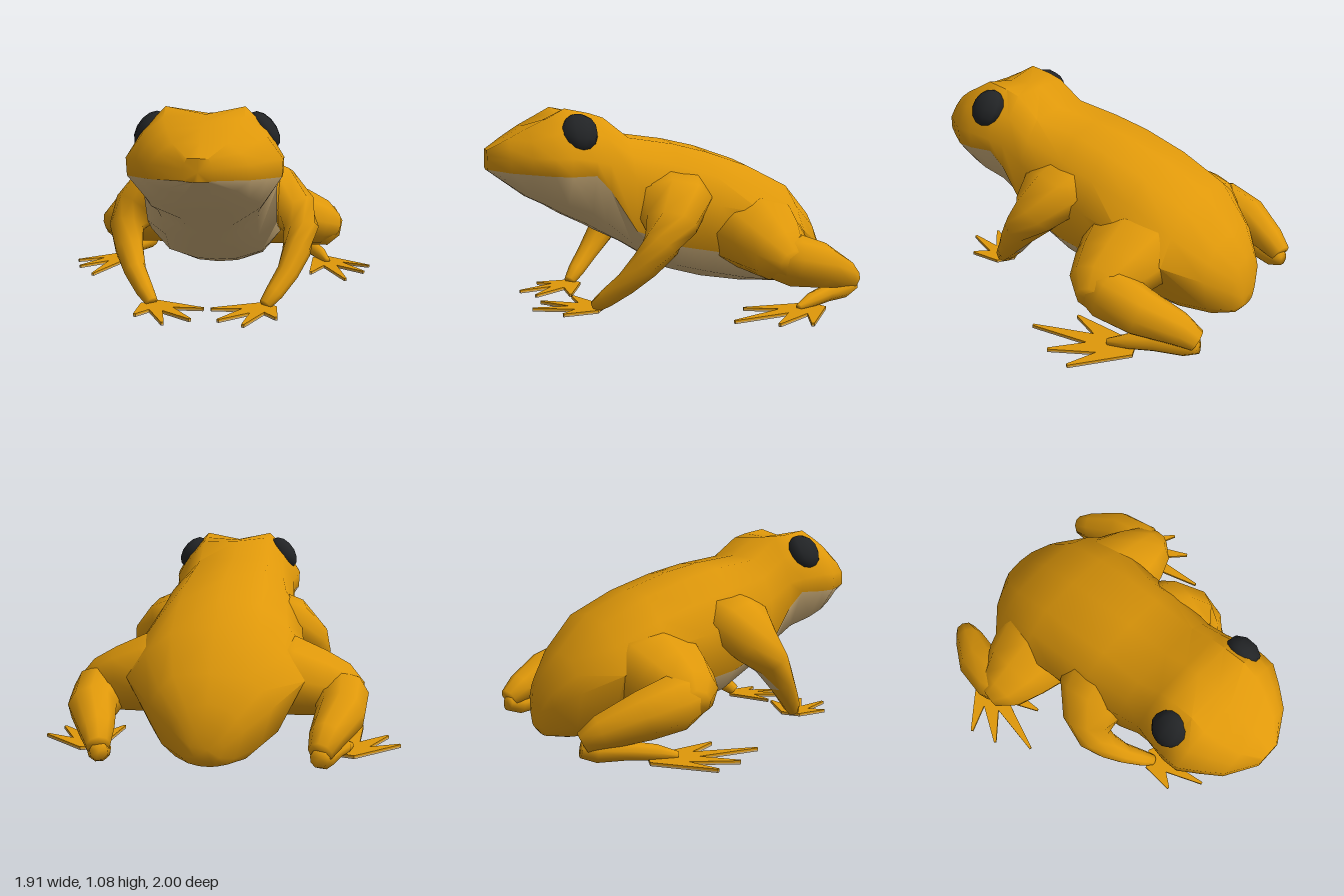
import * as THREE from 'three';
import { toCreasedNormals } from 'three/addons/utils/BufferGeometryUtils.js';

const mat = (name, color) => {
  const m = new THREE.MeshStandardMaterial({ color });
  m.name = name;
  return m;
};
const gold = mat('golden skin', 0xdf980a);
const cream = mat('cream belly', 0xd0b17c);
const black = mat('black eye', 0x222426);

const add = (parent, name, geo, material) => {
  const mesh = new THREE.Mesh(geo, material);
  mesh.name = name;
  parent.add(mesh);
  return mesh;
};

// Skin closed rings of points into one smooth surface; isSecond picks faces for material 1
function loft(rings, isSecond = () => false) {
  const n = rings[0].length;
  const points = rings.flat();
  const faces = [[], []];
  for (let i = 0; i < rings.length - 1; i++) {
    for (let j = 0; j < n; j++) {
      const a = i * n + j, b = i * n + (j + 1) % n;
      faces[isSecond(i, j) ? 1 : 0].push(a, b, b + n, a, b + n, a + n);
    }
  }
  // End caps
  for (const i of [0, rings.length - 1]) {
    const centre = rings[i].reduce((s, p) => s.add(p), new THREE.Vector3()).divideScalar(n);
    const c = points.push(centre) - 1;
    for (let j = 0; j < n; j++) {
      const a = i * n + j, b = i * n + (j + 1) % n;
      if (i === 0) faces[0].push(c, b, a);
      else faces[0].push(c, a, b);
    }
  }
  const geo = new THREE.BufferGeometry().setFromPoints(points);
  geo.setIndex([...faces[0], ...faces[1]]);
  geo.addGroup(0, faces[0].length, 0);
  geo.addGroup(faces[0].length, faces[1].length, 1);
  geo.computeVertexNormals();
  return geo;
}

// Tapered limb through stations [x, y, z, radius, sideways radius]; s mirrors it
function limb(stations, s, isSecond) {
  const sides = 9;
  const centres = stations.map(([x, y, z]) => new THREE.Vector3(x * s, y, z));
  const last = centres.length - 1;
  return loft(centres.map((c, i) => {
    const t = centres[Math.min(i + 1, last)].clone().sub(centres[Math.max(i - 1, 0)]).normalize();
    const u = new THREE.Vector3(0, 1, 0).addScaledVector(t, -t.y).normalize();
    const v = t.clone().cross(u);
    const [, , , r, wide = r] = stations[i];
    return Array.from({ length: sides }, (_, k) => {
      const a = k / sides * Math.PI * 2;
      return c.clone().addScaledVector(u, r * Math.cos(a)).addScaledVector(v, wide * Math.sin(a));
    });
  }), isSecond);
}

// Flat webbed foot: pointed toes fan out from a heel, with a cream sole
function foot(name, heel, tips, s) {
  const group = new THREE.Group();
  group.name = name;
  const H = new THREE.Vector2(...heel);
  const T = tips.map(p => new THREE.Vector2(...p));
  const mid = T.reduce((a, p) => a.add(p), new THREE.Vector2()).divideScalar(T.length);
  const dir = mid.sub(H).normalize();
  const side = new THREE.Vector2(-dir.y, dir.x).multiplyScalar(0.055);
  if (side.dot(T[0].clone().sub(H)) < 0) side.negate();
  const outline = [H.clone().add(side)];
  T.forEach((tip, i) => {
    const across = tip.clone().sub(H).normalize().multiplyScalar(0.007);
    const w = new THREE.Vector2(-across.y, across.x);
    if (w.dot(side) < 0) w.negate();
    outline.push(tip.clone().add(w), tip.clone().sub(w));
    if (i < T.length - 1) outline.push(H.clone().lerp(tip.clone().add(T[i + 1]).multiplyScalar(0.5), 0.5));
  });
  outline.push(H.clone().sub(side));
  const shape = new THREE.Shape(outline.map(p => new THREE.Vector2(p.x * s, p.y)));
  const slab = (label, bottom, top, material) => add(group, label,
    new THREE.ExtrudeGeometry(shape, { depth: top - bottom, bevelEnabled: false })
      .rotateX(Math.PI / 2).translate(0, top, 0), material);
  slab('toes', 0.008, 0.018, gold);
  slab('sole', 0, 0.008, cream);
  return group;
}

// Body sections: z, top y, ridge x, ridge y, widest x, widest y, belly edge x, belly edge y, bottom y
const SECTIONS = [
  [1.0, 0.86, 0.05, 0.86, 0.07, 0.81, 0.07, 0.757, 0.75],
  [0.9, 0.925, 0.13, 0.92, 0.24, 0.82, 0.24, 0.75, 0.675],
  [0.8, 0.985, 0.17, 0.98, 0.32, 0.83, 0.315, 0.745, 0.6],
  [0.7, 1.01, 0.2, 1.03, 0.39, 0.83, 0.385, 0.74, 0.55],
  [0.61, 1.04, 0.2, 1.08, 0.395, 0.83, 0.39, 0.735, 0.495],
  [0.48, 1.04, 0.2, 1.055, 0.38, 0.81, 0.37, 0.735, 0.43],
  [0.4, 1.035, 0.2, 1.03, 0.36, 0.79, 0.36, 0.65, 0.385],
  [0.26, 0.935, 0.21, 0.92, 0.37, 0.7, 0.36, 0.43, 0.315],
  [0.0, 0.9, 0.21, 0.88, 0.42, 0.62, 0.38, 0.33, 0.15],
  [-0.2, 0.855, 0.22, 0.83, 0.43, 0.55, 0.38, 0.29, 0.09],
  [-0.45, 0.77, 0.22, 0.745, 0.45, 0.5, 0.36, 0.2, 0.045],
  [-0.7, 0.65, 0.22, 0.62, 0.45, 0.39, 0.32, 0.13, 0.02],
  [-0.87, 0.455, 0.18, 0.44, 0.3, 0.29, 0.24, 0.1, 0.01],
  [-0.97, 0.33, 0.1, 0.31, 0.17, 0.2, 0.13, 0.07, 0.025],
  [-1.0, 0.2, 0.05, 0.19, 0.08, 0.13, 0.06, 0.08, 0.06],
];

function bodyRing([z, top, rx, ry, wx, wy, ex, ey, bottom]) {
  const half = [
    [0, top], [rx, ry],
    [rx + (wx - rx) * 0.57, ry + (wy - ry) * 0.44],
    [wx, wy], [ex, ey],
    [ex * 0.72, bottom + (ey - bottom) * 0.32],
    [ex * 0.32, bottom + (ey - bottom) * 0.05],
    [0, bottom],
  ];
  const other = half.slice(1, -1).reverse().map(([x, y]) => [-x, y]);
  return [...half, ...other].map(([x, y]) => new THREE.Vector3(x, y, z));
}

export function createModel() {
  const frog = new THREE.Group();
  frog.name = 'frog';

  // Head and trunk, cream from the mouth line down to the hips
  const body = loft(SECTIONS.map(bodyRing), (i, j) => i < 11 && j >= 4 && j <= 9);
  add(frog, 'body', toCreasedNormals(body, 0.9), [gold, cream]);

  for (const s of [1, -1]) {
    const label = s > 0 ? 'left' : 'right';

    // Eye, tilted to lie on the side of the head
    const eye = add(frog, label + 'Eye', new THREE.SphereGeometry(1, 9, 7), black);
    eye.scale.set(0.068, 0.11, 0.1);
    eye.position.set(0.29 * s, 0.957, 0.55);
    eye.rotation.z = 0.64 * s;

    // Front leg, growing out of a broad shoulder, and hand
    const front = new THREE.Group();
    front.name = label + 'FrontLeg';
    add(front, 'arm', limb([
      [0.18, 0.64, 0.03, 0.16, 0.26], [0.35, 0.575, 0.06, 0.155, 0.22], [0.45, 0.47, 0.11, 0.13, 0.155],
      [0.495, 0.38, 0.17, 0.1], [0.47, 0.27, 0.25, 0.08], [0.42, 0.165, 0.34, 0.062],
      [0.35, 0.075, 0.43, 0.05], [0.305, 0.025, 0.48, 0.035],
    ], s, (i, j) => i > 0 && i < 4 && j === 4), [gold, cream]);
    front.add(foot('hand', [0.32, 0.45],
      [[0.365, 0.67], [0.2, 0.8], [0.07, 0.73], [0.02, 0.54]], s));
    frog.add(front);

    // Hind leg: thigh out to the knee, shank back to the heel, then the long foot
    const hind = new THREE.Group();
    hind.name = label + 'HindLeg';
    add(hind, 'thigh', limb([
      [0.15, 0.42, -0.45, 0.22, 0.31], [0.36, 0.37, -0.45, 0.21, 0.28], [0.52, 0.335, -0.45, 0.175, 0.225],
      [0.65, 0.3, -0.45, 0.14, 0.16], [0.74, 0.28, -0.47, 0.07, 0.08],
    ], s), gold);
    add(hind, 'shank', limb([
      [0.6, 0.3, -0.36, 0.06], [0.62, 0.29, -0.43, 0.12], [0.635, 0.275, -0.52, 0.145],
      [0.63, 0.23, -0.7, 0.125], [0.56, 0.16, -0.88, 0.088], [0.53, 0.11, -0.965, 0.06],
    ], s), gold);
    add(hind, 'ankle', limb([
      [0.525, 0.085, -0.975, 0.045], [0.545, 0.07, -0.9, 0.06], [0.6, 0.06, -0.76, 0.047],
      [0.65, 0.045, -0.64, 0.04], [0.69, 0.025, -0.54, 0.018],
    ], s), gold);
    hind.add(foot('foot', [0.65, -0.68],
      [[0.95, -0.475], [0.9, -0.315], [0.775, -0.125], [0.57, -0.27]], s));
    frog.add(hind);
  }
  return frog;
}
